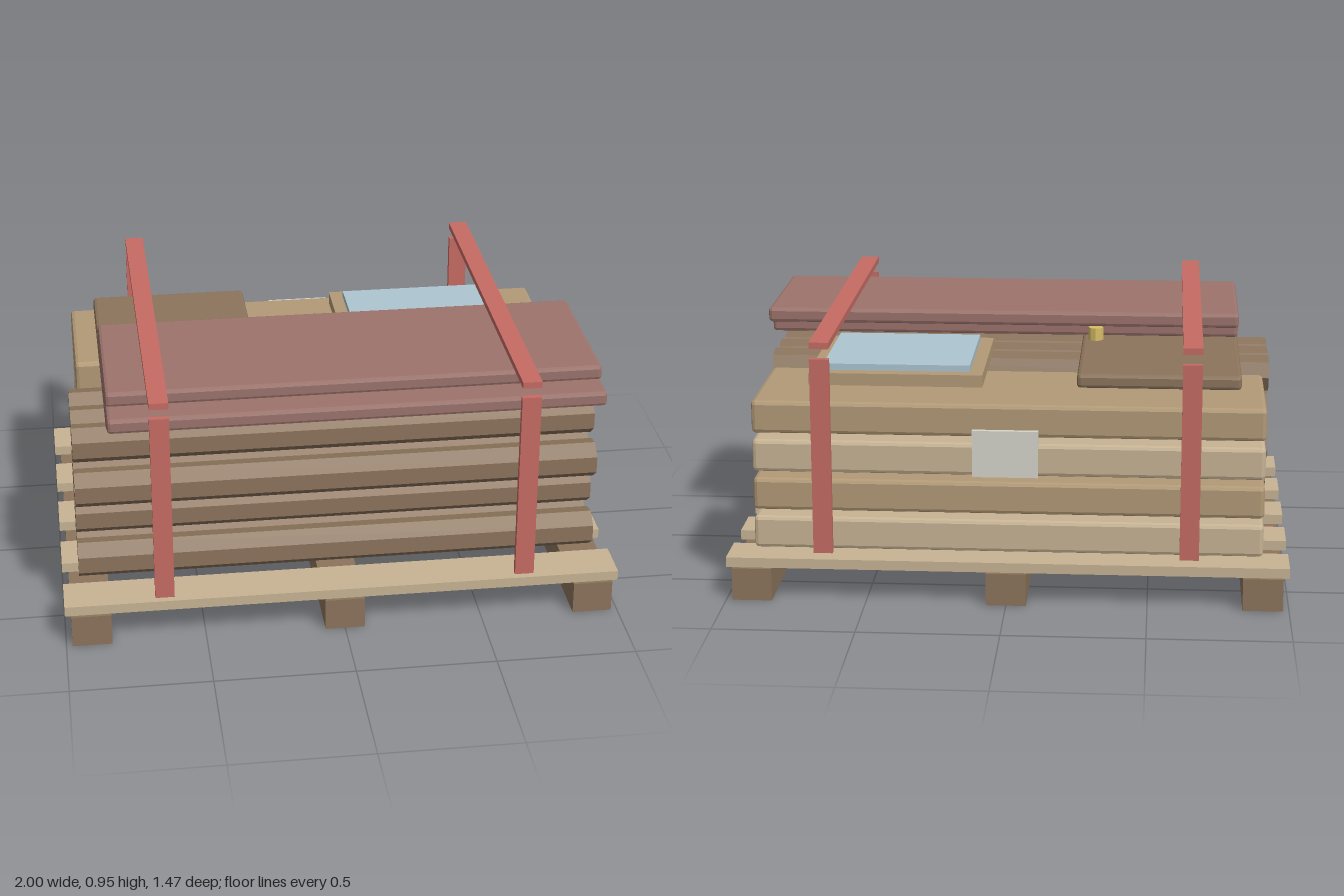
import * as THREE from 'three';
import { RoundedBoxGeometry } from 'three/addons/geometries/RoundedBoxGeometry.js';

const material = (color) => new THREE.MeshStandardMaterial({ color, flatShading: true });
const mats = {
  brown: material(0x8c745c),
  pale: material(0xc8b494),
  tan: material(0xb39a76),
  red: material(0x9c736c),
  strap: material(0xc66c64),
  glass: material(0xadc6d2),
  brass: material(0xd8bf66),
  label: material(0xd6d5cc),
};

export function createModel() {
  const model = new THREE.Group();

  function add(parent, name, geometry, mat, x, y, z) {
    const mesh = new THREE.Mesh(geometry, mat);
    mesh.name = name;
    mesh.position.set(x, y, z);
    parent.add(mesh);
    return mesh;
  }
  // Box given by its extents on each axis, with an optional chamfer
  function block(parent, name, mat, [x0, x1], [y0, y1], [z0, z1], bevel = 0) {
    const size = [x1 - x0, y1 - y0, z1 - z0];
    const geometry = bevel
      ? new RoundedBoxGeometry(...size, 1, bevel)
      : new THREE.BoxGeometry(...size);
    return add(parent, name, geometry, mat, (x0 + x1) / 2, (y0 + y1) / 2, (z0 + z1) / 2);
  }
  function group(name) {
    const g = new THREE.Group();
    g.name = name;
    model.add(g);
    return g;
  }

  // Pallet: three runners under five deck slats
  const pallet = group('pallet');
  for (const x of [-0.907, 0, 0.907]) {
    block(pallet, 'palletRunner', mats.brown, [x - 0.071, x + 0.071], [0, 0.118], [-0.705, 0.713]);
  }
  for (let i = -2; i <= 2; i++) {
    const z = 0.005 + i * 0.307;
    block(pallet, 'palletSlat', mats.pale, [-1, 1], [0.118, 0.154], [z - 0.082, z + 0.082]);
  }

  // Staggered stack of seven-sided logs
  const logs = group('logStack');
  const logGeometry = new THREE.CylinderGeometry(0.07, 0.07, 1.88, 7);
  logGeometry.rotateY(Math.PI).rotateZ(Math.PI / 2);
  for (let row = 0; row < 4; row++) {
    for (let i = 0; i < 3; i++) {
      const z = 0.192 + i * 0.142 - (row % 2) * 0.071;
      add(logs, 'log', logGeometry, mats.brown, 0, 0.225 + row * 0.142, z);
    }
  }

  // Stack of thick planks at the back
  const planks = group('plankStack');
  for (let row = 0; row < 4; row++) {
    const y = 0.226 + row * 0.142;
    block(planks, 'plank', row % 2 ? mats.tan : mats.pale,
      [-0.908, 0.908], [y - 0.059, y + 0.059], [-0.613, -0.122], 0.014);
  }

  // Door with its knob
  const door = group('door');
  block(door, 'doorPanel', mats.brown, [-0.82, -0.24], [0.752, 0.803], [-0.52, 0.535], 0.012);
  add(door, 'doorKnob', new THREE.CylinderGeometry(0.028, 0.028, 0.05, 8),
    mats.brass, -0.29, 0.825, 0.006);

  // Window lying on the planks
  const windowUnit = group('window');
  block(windowUnit, 'windowFrame', mats.tan, [0.097, 0.72], [0.741, 0.785], [-0.488, 0.077]);
  block(windowUnit, 'windowPane', mats.glass, [0.145, 0.672], [0.785, 0.808], [-0.44, 0.032]);

  // Two red panels, the upper one slid back
  const panels = group('redPanels');
  block(panels, 'lowerPanel', mats.red, [-0.82, 0.935], [0.802, 0.856], [0.066, 0.65], 0.012);
  block(panels, 'upperPanel', mats.red, [-0.82, 0.935], [0.859, 0.913], [-0.028, 0.555], 0.012);

  // Straps: two uprights and a top bar on each side
  for (const side of [-1, 1]) {
    const strap = group(side > 0 ? 'leftStrap' : 'rightStrap');
    const x = [side * 0.645 - 0.034, side * 0.645 + 0.034];
    block(strap, 'strapFront', mats.strap, x, [0.19, 0.895], [0.712, 0.734]);
    block(strap, 'strapBack', mats.strap, x, [0.19, 0.895], [-0.726, -0.704]);
    block(strap, 'strapTop', mats.strap, x, [0.932, 0.955], [-0.726, 0.734]);
  }

  // Blank tag behind the planks
  block(model, 'tag', mats.label, [-0.115, 0.115], [0.485, 0.652], [-0.738, -0.72]);

  return model;
}
